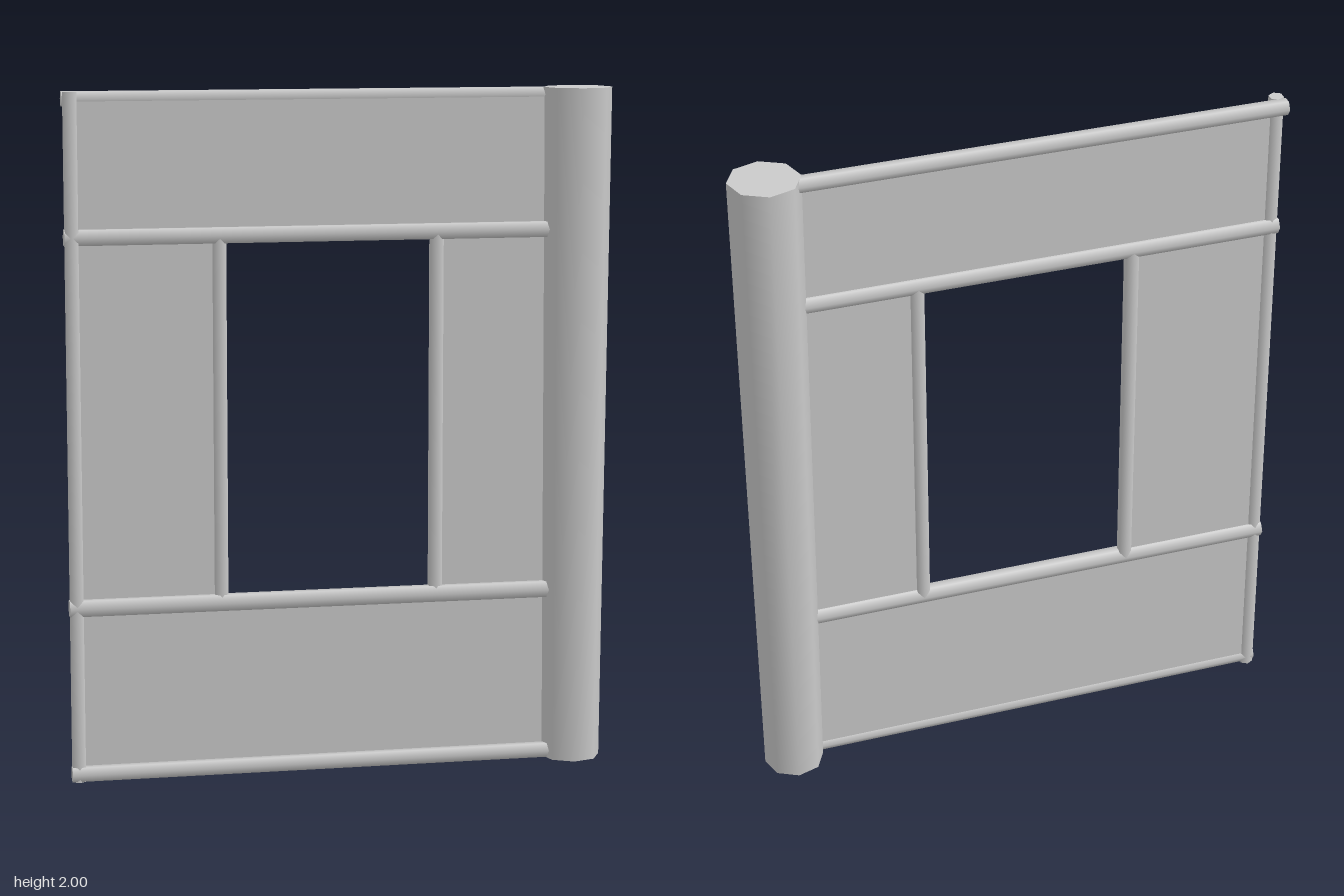
import * as THREE from 'three';

const material = new THREE.MeshStandardMaterial({ color: 0xcccccc });
const sheetMaterial = new THREE.MeshStandardMaterial({ color: 0xcccccc, side: THREE.DoubleSide });

const LEFT = -0.8, POST_X = 0.705;
const WINDOW = { x0: -0.355, x1: 0.283, y0: 0.515, y1: 1.588 };

// Straight round bar between two points
function bar(name, from, to, radius, sides = 6) {
  const a = new THREE.Vector3(...from), b = new THREE.Vector3(...to);
  const dir = b.clone().sub(a);
  const mesh = new THREE.Mesh(new THREE.CylinderGeometry(radius, radius, dir.length(), sides), material);
  mesh.position.copy(a).add(b).multiplyScalar(0.5);
  mesh.quaternion.setFromUnitVectors(new THREE.Vector3(0, 1, 0), dir.normalize());
  mesh.name = name;
  return mesh;
}

export function createModel() {
  const group = new THREE.Group();
  group.name = 'windowWall';

  // Thick end post, slightly wider at the top
  const post = new THREE.Mesh(new THREE.CylinderGeometry(0.102, 0.089, 2, 8), material);
  post.position.set(POST_X - 0.003, 1, 0);
  post.rotation.y = -0.09;
  post.name = 'endPost';
  group.add(post);

  // Thin wall sheet with the window opening
  const shape = new THREE.Shape();
  shape.moveTo(LEFT + 0.02, 0.02).lineTo(POST_X, 0.02).lineTo(POST_X, 1.98).lineTo(LEFT + 0.02, 1.98).closePath();
  const hole = new THREE.Path();
  hole.moveTo(WINDOW.x0, WINDOW.y0).lineTo(WINDOW.x0, WINDOW.y1)
    .lineTo(WINDOW.x1, WINDOW.y1).lineTo(WINDOW.x1, WINDOW.y0).closePath();
  shape.holes.push(hole);
  const panel = new THREE.Mesh(new THREE.ShapeGeometry(shape), sheetMaterial);
  panel.name = 'wallPanel';
  group.add(panel);

  // Horizontal rails: [name, height, depth, radius]
  const rails = [
    ['bottomRail', 0.023, 0.016, 0.024],
    ['sillRail', WINDOW.y0, 0.008, 0.027],
    ['lintelRail', WINDOW.y1, 0.004, 0.026],
    ['topRail', 1.979, -0.02, 0.024],
  ];
  for (const [name, y, z, r] of rails) {
    group.add(bar(name, [LEFT, y, z], [POST_X - 0.02, y, z], r));
  }

  // Upright at the free edge and the two window jambs
  group.add(bar('edgeUpright', [LEFT + 0.021, 0, 0.01], [LEFT + 0.021, 2, 0.01], 0.022));
  for (const [name, x] of [['rightJamb', WINDOW.x0], ['leftJamb', WINDOW.x1]]) {
    group.add(bar(name, [x, WINDOW.y0, 0.003], [x, WINDOW.y1, 0.003], 0.022));
  }

  return group;
}
